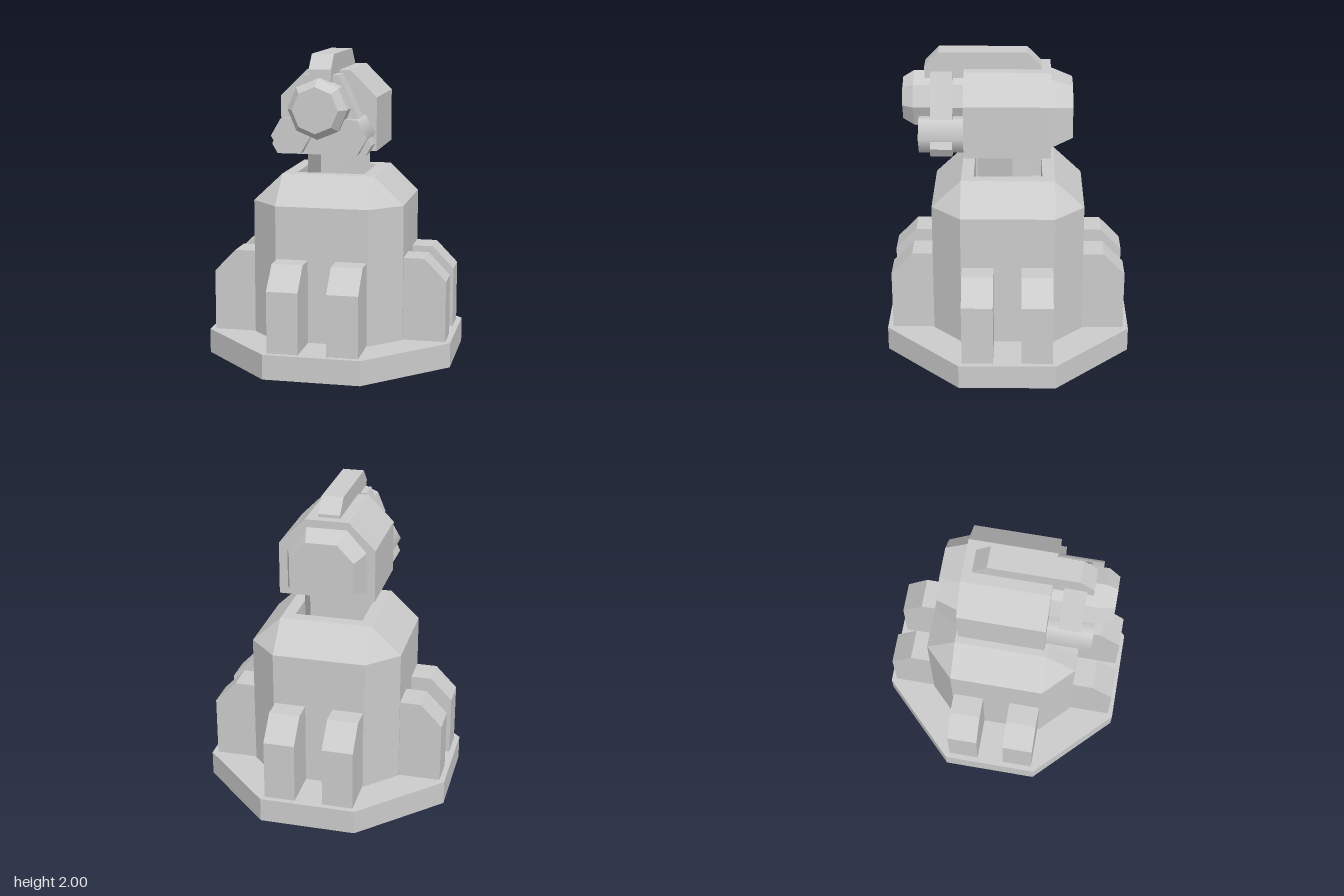
import * as THREE from 'three';

const flat = new THREE.MeshStandardMaterial({ color: 0xcccccc, flatShading: true, side: THREE.DoubleSide });
const smooth = new THREE.MeshStandardMaterial({ color: 0xcccccc });

function part(parent, name, geometry, material = flat) {
  const mesh = new THREE.Mesh(geometry, material);
  mesh.name = name;
  parent.add(mesh);
  return mesh;
}

// Skin between successive rings of [x, y, z] points, closed by a cap on the last ring
function loft(rings) {
  const pos = [];
  const tri = (a, b, c) => {
    const same = (p, q) => p.every((v, k) => v === q[k]);
    if (!same(a, b) && !same(b, c) && !same(a, c)) pos.push(...a, ...b, ...c);
  };
  for (let r = 0; r < rings.length - 1; r++) {
    const a = rings[r], b = rings[r + 1];
    for (let i = 0; i < a.length; i++) {
      const j = (i + 1) % a.length;
      tri(a[i], a[j], b[j]);
      tri(a[i], b[j], b[i]);
    }
  }
  const cap = rings[rings.length - 1];
  for (let i = 1; i < cap.length - 1; i++) tri(cap[0], cap[i], cap[i + 1]);
  const geo = new THREE.BufferGeometry();
  geo.setAttribute('position', new THREE.Float32BufferAttribute(pos, 3));
  geo.computeVertexNormals();
  return geo;
}

// Level octagon of half width r whose straight sides have half length c; a square when c = r
const octagon = (r, c, y) =>
  [[-c, r], [c, r], [r, c], [r, -c], [c, -r], [-c, -r], [-r, -c], [-r, c]].map(([x, z]) => [x, y, z]);

// Outline in x, y extruded from z0 to z1
function prism(points, z0, z1) {
  const shape = new THREE.Shape(points.map(([x, y]) => new THREE.Vector2(x, y)));
  return new THREE.ExtrudeGeometry(shape, { depth: z1 - z0, bevelEnabled: false }).translate(0, 0, z0);
}

// Adds the mirror image of a right-hand outline, so it closes across x = 0
const mirrored = (half) => [...half, ...half.slice().reverse().map(([x, y]) => [-x, y])];

// Barrel section along z
const tube = (rBack, rFront, z0, z1, sides, turn = 0) =>
  new THREE.CylinderGeometry(rFront, rBack, z1 - z0, sides, 1, false, turn)
    .rotateX(Math.PI / 2).translate(0, 0, (z0 + z1) / 2);

export function createModel() {
  const model = new THREE.Group();
  model.name = 'turret';

  // Hollow octagonal plinth, open underneath
  part(model, 'base', loft([octagon(0.8, 0.31, 0), octagon(0.8, 0.31, 0.16)]));

  // Tower with sloped shoulders and a square well in the top
  part(model, 'tower', loft([
    octagon(0.49, 0.3, 0), octagon(0.49, 0.3, 1.04), octagon(0.3, 0.3, 1.22),
    octagon(0.22, 0.22, 1.22), octagon(0.22, 0.22, 1.04),
  ]));

  // Two buttresses on each of the four sides
  const buttress = prism([[-0.765, 0.16], [-0.48, 0.16], [-0.48, 0.7], [-0.625, 0.7], [-0.765, 0.555]], -0.1, 0.1);
  buttress.rotateY(Math.PI / 2);
  for (let side = 0; side < 4; side++) {
    const pair = new THREE.Group();
    pair.name = 'buttressPair';
    pair.rotation.y = side * Math.PI / 2;
    for (const x of [-0.19, 0.19]) part(pair, 'buttress', buttress).position.x = x;
    model.add(pair);
  }

  // Neck: a triangular post with its corners cut off
  part(model, 'neck', prism(mirrored([[0.07, -0.2], [0.21, 0.03], [0.14, 0.16]]), 1.04, 1.4).rotateX(-Math.PI / 2));

  const head = new THREE.Group();
  head.name = 'head';
  model.add(head);

  // Housing with chamfered upper edges
  part(head, 'housing', prism(mirrored([[0.31, 1.38], [0.31, 1.72], [0.14, 1.89]]), -0.27, 0.28));

  // Tapered cover on the back
  const cover = (half, z) => mirrored(half).map(([x, y]) => [x, y, z]).reverse();
  part(head, 'rearCover', loft([
    cover([[0.255, 1.43], [0.255, 1.7], [0.13, 1.84]], -0.27),
    cover([[0.205, 1.48], [0.205, 1.68], [0.1, 1.79]], -0.41),
  ]));

  // Rail along the top, sloped at both ends
  part(head, 'topRail', prism(
    [[-0.53, 1.83], [0.21, 1.83], [0.21, 1.91], [0.12, 2], [-0.44, 2], [-0.53, 1.91]], -0.07, 0.07,
  ).rotateY(Math.PI / 2));

  // Main barrel with a bevelled muzzle
  part(head, 'mainBarrel', tube(0.187, 0.187, 0.27, 0.6, 8)).position.y = 1.673;
  part(head, 'muzzle', tube(0.187, 0.143, 0.6, 0.67, 8)).position.y = 1.673;

  // Lower barrels
  for (const x of [-0.178, 0.178]) {
    part(head, 'lowerBarrel', tube(0.125, 0.125, 0.27, 0.565, 6, Math.PI / 6), smooth).position.set(x, 1.5, 0);
  }

  // Clamp plate joining the three barrels
  part(head, 'barrelClamp', prism(mirrored([[0.28, 1.38], [0.315, 1.44], [0.11, 1.875]]), 0.35, 0.49));

  return model;
}
